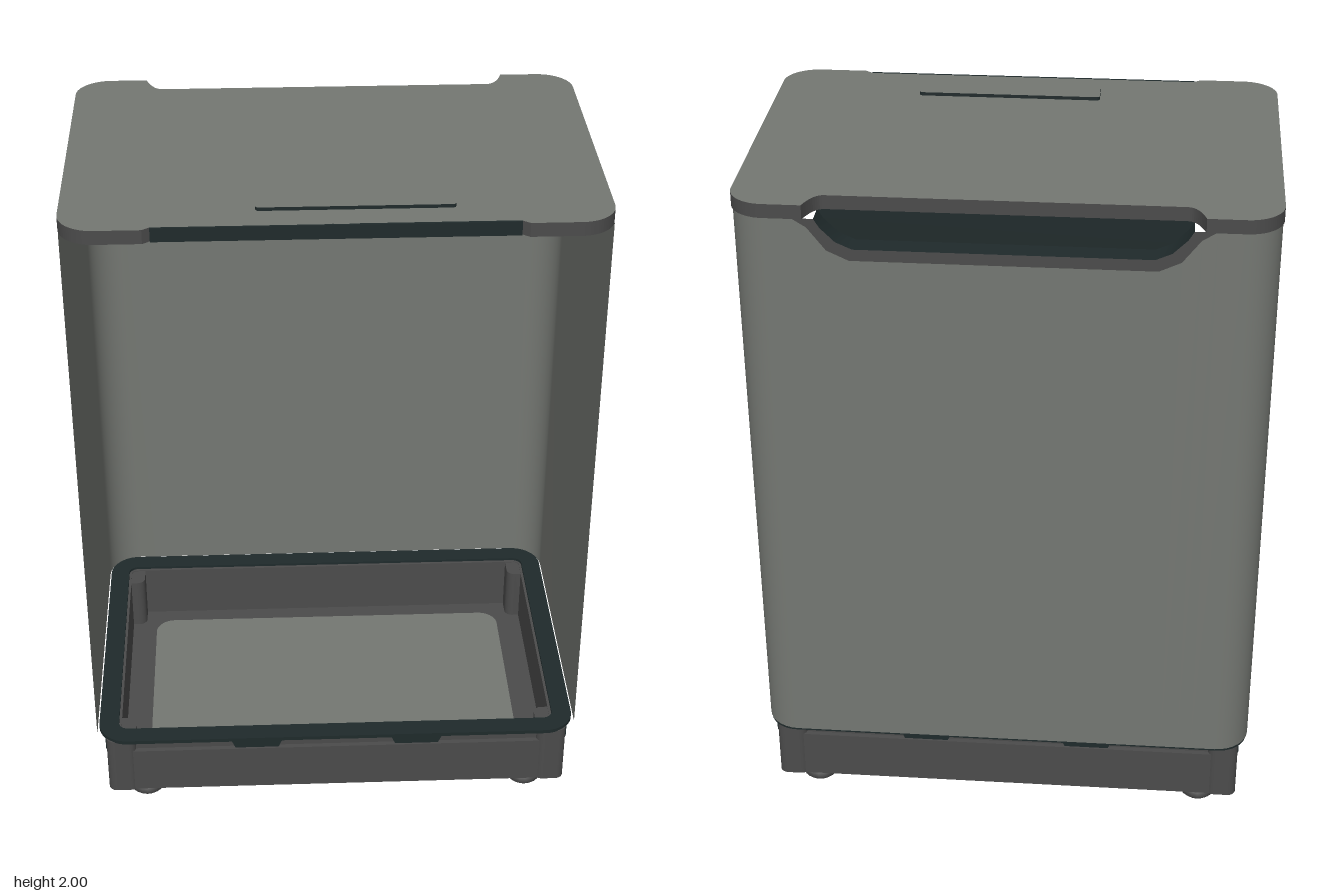
import * as THREE from 'three';

const panelGrey = new THREE.MeshStandardMaterial({ name: 'panelGrey', color: 0x747772, side: THREE.DoubleSide });
const baseGrey = new THREE.MeshStandardMaterial({ name: 'baseGrey', color: 0x4b4b4b, side: THREE.DoubleSide });
const darkTeal = new THREE.MeshStandardMaterial({ name: 'darkTeal', color: 0x1f2a2b, side: THREE.DoubleSide });

function add(parent, name, geometry, material, x = 0, y = 0, z = 0) {
  const mesh = new THREE.Mesh(geometry, material);
  mesh.name = name;
  mesh.position.set(x, y, z);
  parent.add(mesh);
  return mesh;
}

const box = (w, h, d) => new THREE.BoxGeometry(w, h, d);

// Rounded rectangle in plan, with half sizes w, d
function roundedRect(w, d, r, Type = THREE.Shape) {
  const s = new Type();
  s.moveTo(-w + r, -d);
  s.lineTo(w - r, -d);
  s.absarc(w - r, -d + r, r, -Math.PI / 2, 0);
  s.lineTo(w, d - r);
  s.absarc(w - r, d - r, r, 0, Math.PI / 2);
  s.lineTo(-w + r, d);
  s.absarc(-w + r, d - r, r, Math.PI / 2, Math.PI);
  s.lineTo(-w, -d + r);
  s.absarc(-w + r, -d + r, r, Math.PI, Math.PI * 1.5);
  return s;
}

// Plan shape (shape y = -z) raised upward by h
function slab(shape, h) {
  const g = new THREE.ExtrudeGeometry(shape, { depth: h, bevelEnabled: false, curveSegments: 10 });
  return g.rotateX(-Math.PI / 2);
}

function ring(w, d, r, wall, h) {
  const s = roundedRect(w, d, r);
  s.holes.push(roundedRect(w - wall, d - wall, Math.max(r - wall, 0.015), THREE.Path));
  return slab(s, h);
}

// Ribbon between two equally long rows of points
function ribbon(a, b) {
  const pos = [], idx = [];
  a.forEach((p, i) => {
    pos.push(...p, ...b[i]);
    if (i) idx.push(2 * i - 2, 2 * i, 2 * i - 1, 2 * i - 1, 2 * i, 2 * i + 1);
  });
  const g = new THREE.BufferGeometry();
  g.setAttribute('position', new THREE.Float32BufferAttribute(pos, 3));
  g.setIndex(idx);
  g.computeVertexNormals();
  return g;
}

const TOP = 1.95, BOTTOM = 0.25, W = 0.732, BACK = -0.495;
// Outer and inner outline of the grip opening in the back wall
const gripOuter = [[-0.56, TOP], [-0.52, 1.925], [-0.47, 1.86], [-0.41, 1.832],
  [0.41, 1.832], [0.47, 1.86], [0.52, 1.925], [0.56, TOP]];
const gripInner = [[-0.5, TOP], [-0.485, 1.925], [-0.445, 1.885], [-0.4, 1.865],
  [0.4, 1.865], [0.445, 1.885], [0.485, 1.925], [0.5, TOP]];

function shell() {
  // U-shaped plan path, open at the front, with the grip cut into its top edge
  const r = 0.1, path = [[-W, 0.43, TOP]];
  for (let i = 0; i <= 8; i++) {
    const a = (i / 8) * Math.PI / 2;
    path.push([-W + r - r * Math.cos(a), BACK + r - r * Math.sin(a), TOP]);
  }
  const half = path.slice();
  gripOuter.forEach(([x, y]) => path.push([x, BACK, y]));
  half.reverse().forEach(([x, z, y]) => path.push([-x, z, y]));
  return ribbon(path.map(([x, z]) => [x, BOTTOM, z]), path.map(([x, z, y]) => [x, y, z]));
}

function lidShape() {
  const w = 0.735, d = 0.5, r = 0.1, s = new THREE.Shape();
  s.moveTo(-w + r, -d);
  // shallow front notch
  s.lineTo(-0.51, -d); s.lineTo(-0.49, -d + 0.015);
  s.lineTo(0.48, -d + 0.015); s.lineTo(0.5, -d);
  s.lineTo(w - r, -d);
  s.absarc(w - r, -d + r, r, -Math.PI / 2, 0);
  s.absarc(w - r, d - r, r, 0, Math.PI / 2);
  // deep back notch for the grip
  s.lineTo(0.53, d); s.quadraticCurveTo(0.51, 0.43, 0.48, 0.43);
  s.lineTo(-0.48, 0.43); s.quadraticCurveTo(-0.51, 0.43, -0.53, d);
  s.lineTo(-w + r, d);
  s.absarc(-w + r, d - r, r, Math.PI / 2, Math.PI);
  s.absarc(-w + r, -d + r, r, Math.PI, Math.PI * 1.5);
  return s;
}

export function createModel() {
  const model = new THREE.Group();
  model.name = 'openCabinet';

  add(model, 'shellWalls', shell(), panelGrey);

  // Lid with front trim and raised label plate
  const lid = new THREE.Group();
  lid.name = 'lid';
  model.add(lid);
  add(lid, 'lidPanel', slab(lidShape(), 0.04), [panelGrey, baseGrey], 0, TOP);
  add(lid, 'frontTrim', box(0.97, 0.04, 0.008), darkTeal, -0.005, 1.97, 0.487);
  add(lid, 'raisedPlate', slab(roundedRect(0.265, 0.045, 0.01), 0.01), [panelGrey, darkTeal], 0.05, 1.99, 0.355);

  // Recessed grip at the top of the back wall
  const grip = new THREE.Group();
  grip.name = 'backGrip';
  model.add(grip);
  const at = (pts, z) => pts.map(([x, y]) => [x, y, z]);
  add(grip, 'gripRim', ribbon(at(gripOuter, BACK), at(gripInner, BACK)), baseGrey);
  add(grip, 'gripPocket', ribbon(at(gripInner, BACK), at(gripInner, -0.43)), darkTeal);
  const panel = new THREE.Shape(gripInner.map(([x, y]) => new THREE.Vector2(x, y)));
  add(grip, 'gripPanel', new THREE.ShapeGeometry(panel), darkTeal, 0, 0, -0.43);

  // Base tray
  const base = new THREE.Group();
  base.name = 'base';
  model.add(base);
  add(base, 'trayWall', ring(0.7, 0.46, 0.04, 0.04, 0.15), baseGrey, 0, 0.05);
  add(base, 'trayUpperWall', ring(0.685, 0.445, 0.03, 0.025, 0.045), baseGrey, 0, 0.2);
  add(base, 'trayFloor', slab(roundedRect(0.69, 0.45, 0.03), 0.02), baseGrey, 0, 0.05);
  add(base, 'floorPanel', slab(roundedRect(0.58, 0.36, 0.06), 0.006), panelGrey, 0, 0.07);
  add(base, 'gasket', ring(0.728, 0.482, 0.09, 0.06, 0.012), darkTeal, 0, 0.241, -0.008);

  // Corner posts, side inserts and round feet
  for (const sx of [-1, 1]) {
    for (const sz of [-1, 1]) {
      const post = roundedRect(0.045, 0.057, 0.025);
      add(base, 'cornerPost', slab(post, 0.193), baseGrey, sx * 0.66, 0.05, sz * 0.408);
      add(base, 'cornerInsert', box(0.006, 0.04, 0.08), darkTeal, sx * 0.704, 0.222, sz * 0.405);
      const foot = [[0, 0], [0.042, 0], [0.052, 0.01], [0.052, 0.028], [0.04, 0.038], [0.03, 0.055]];
      add(base, 'foot', new THREE.LatheGeometry(foot.map(p => new THREE.Vector2(...p)), 20), baseGrey,
        sx * 0.59, 0, sz * 0.388);
    }
  }

  // Tapered clips under the gasket, front and back
  const clip = new THREE.Shape([[-0.065, 0], [0.065, 0], [0.085, 0.045], [-0.085, 0.045]]
    .map(p => new THREE.Vector2(...p)));
  const clipGeometry = new THREE.ExtrudeGeometry(clip, { depth: 0.008, bevelEnabled: false });
  for (const x of [-0.245, 0.245]) {
    for (const z of [0.446, -0.454]) add(base, 'clip', clipGeometry, darkTeal, x, 0.198, z);
  }

  return model;
}
